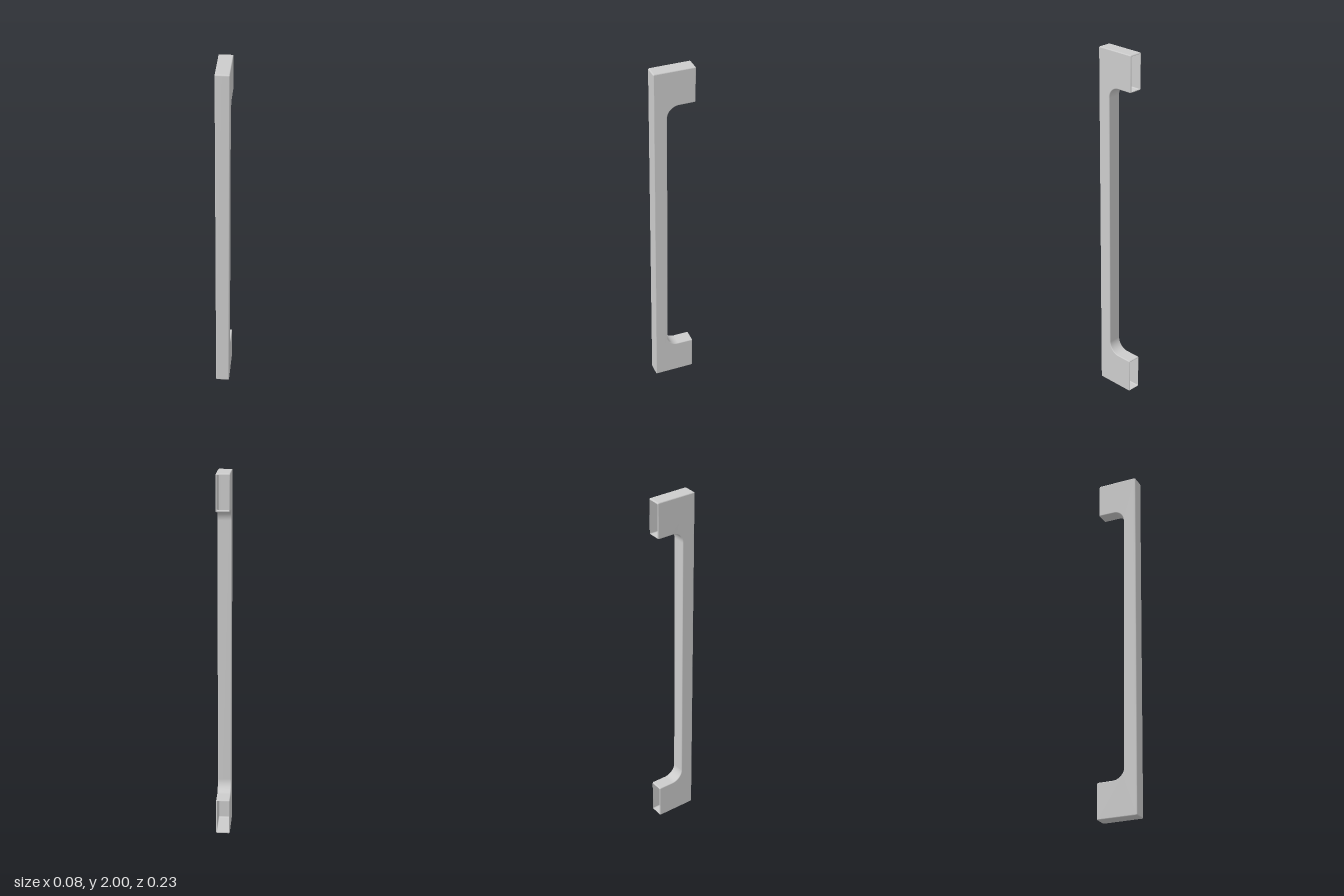
import * as THREE from 'three';
import { mergeVertices } from 'three/addons/utils/BufferGeometryUtils.js';

const HALF_WIDTH = 0.038;  // x
const HALF_DEPTH = 0.114;  // z
const HEIGHT = 2;
const POST = 0.2;          // height of each mounting post
const BAR_BACK = 0.04;     // z of the grip's rear face
const FILLET = 0.065;
const ROUND = 0.007;       // small rounding of the outer corners
const BEVEL = 0.005;

// Side outline drawn as (z, y), counter-clockwise
function sideOutline() {
  const s = new THREE.Shape();
  const q = Math.PI / 2, d = HALF_DEPTH, r = ROUND;
  const corner = (z, y, quarter) => s.absarc(z, y, r, quarter * q, (quarter + 1) * q, false);
  const fillet = (y, quarter) =>
    s.absarc(BAR_BACK - FILLET, y, FILLET, quarter * q, (quarter - 1) * q, true);

  s.moveTo(d, r);
  corner(d - r, HEIGHT - r, 0);
  corner(-d + r, HEIGHT - r, 1);
  corner(-d + r, HEIGHT - POST + r, 2);
  fillet(HEIGHT - POST - FILLET, 1);
  fillet(POST + FILLET, 0);
  corner(-d + r, POST - r, 1);
  corner(-d + r, r, 2);
  corner(d - r, r, 3);
  return s;
}

// Drop the flat rear faces so both posts are open at the back
function openBack(geometry) {
  const pos = geometry.attributes.position;
  const index = geometry.index.array;
  const kept = [];
  for (let i = 0; i < index.length; i += 3) {
    const tri = [index[i], index[i + 1], index[i + 2]];
    if (!tri.every((v) => pos.getZ(v) < -HALF_DEPTH + 1e-4)) kept.push(...tri);
  }
  geometry.setIndex(kept);
}

export function createModel() {
  const group = new THREE.Group();
  group.name = 'pullHandle';

  const depth = 2 * (HALF_WIDTH - BEVEL);
  let geometry = new THREE.ExtrudeGeometry(sideOutline(), {
    depth,
    curveSegments: 8,
    bevelEnabled: true,
    bevelThickness: BEVEL,
    bevelSize: BEVEL,
    bevelOffset: -BEVEL,
    bevelSegments: 3,
  });
  geometry.translate(0, 0, -depth / 2);
  geometry.rotateY(-Math.PI / 2);

  // Weld, open the back, then smooth over the rounded edges
  geometry.deleteAttribute('uv');
  geometry.deleteAttribute('normal');
  geometry = mergeVertices(geometry, 1e-5);
  openBack(geometry);
  geometry.computeVertexNormals();

  const handle = new THREE.Mesh(
    geometry,
    new THREE.MeshStandardMaterial({ color: 0xcccccc, side: THREE.DoubleSide })
  );
  handle.name = 'handleShell';
  group.add(handle);
  return group;
}
